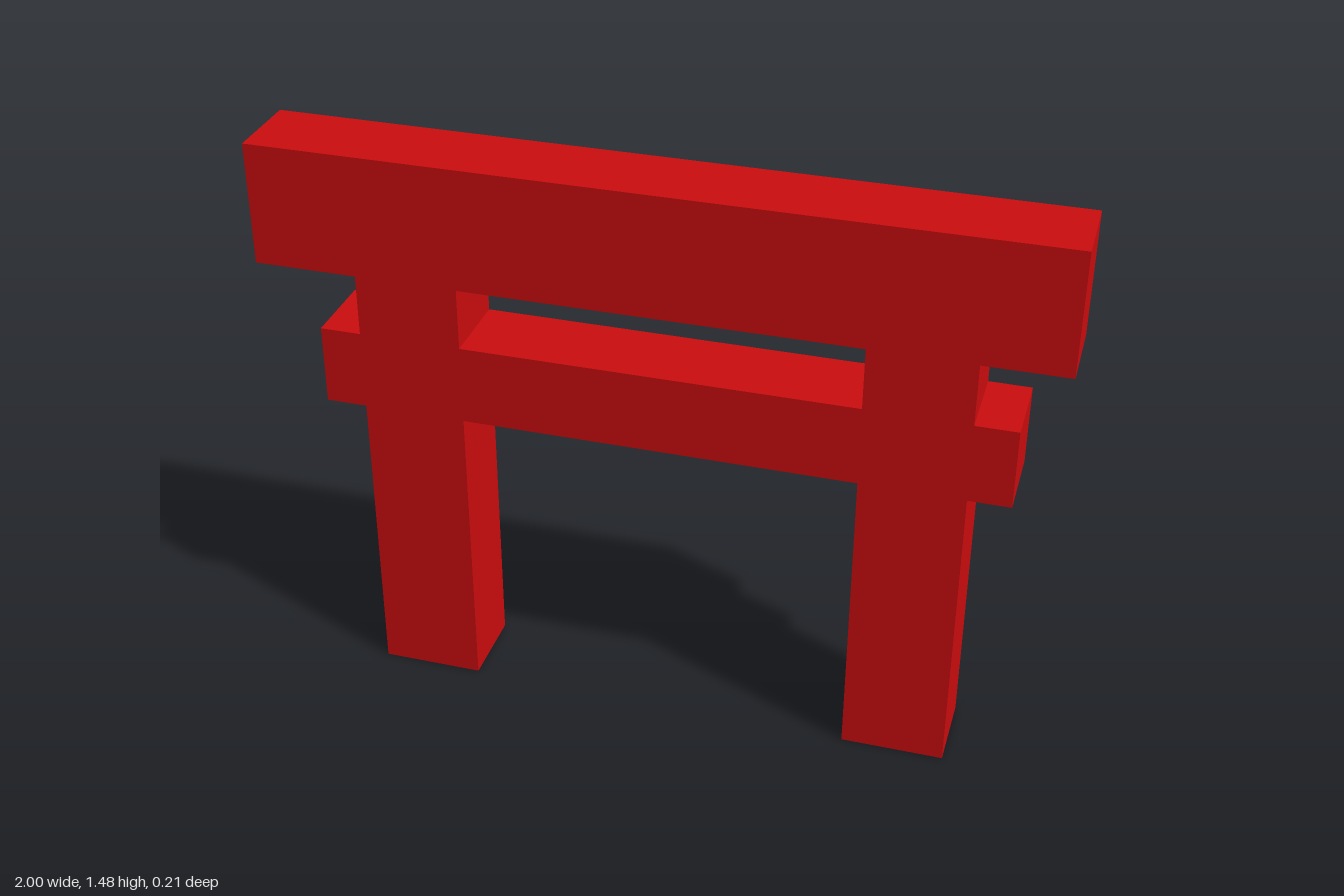
import * as THREE from 'three';

export function createModel() {
  const gate = new THREE.Group();
  gate.name = 'gate';
  const red = new THREE.MeshStandardMaterial({ color: 0xcc0d0f });
  red.name = 'red paint';
  const depth = 0.21;

  // Box given by its edges in x and y, sharing the common depth
  function block(name, x0, x1, y0, y1, parent = gate) {
    const mesh = new THREE.Mesh(new THREE.BoxGeometry(x1 - x0, y1 - y0, depth), red);
    mesh.position.set((x0 + x1) / 2, (y0 + y1) / 2, 0);
    mesh.name = name;
    parent.add(mesh);
  }

  // Two posts reaching up to the top beam
  const posts = { rightPost: [-0.737, -0.475], leftPost: [0.525, 0.787] };
  for (const [name, [x0, x1]] of Object.entries(posts)) block(name, x0, x1, 0, 1.16);

  // Heavy top beam
  block('topBeam', -1, 1, 1.16, 1.477);

  // Tie beam flush with the posts: a span between them and a stub on each outer side
  const tieBeam = new THREE.Group();
  tieBeam.name = 'tieBeam';
  gate.add(tieBeam);
  const spans = {
    rightStub: [-0.842, posts.rightPost[0]],
    middleSpan: [posts.rightPost[1], posts.leftPost[0]],
    leftStub: [posts.leftPost[1], 0.893],
  };
  for (const [name, [x0, x1]] of Object.entries(spans)) block(name, x0, x1, 0.793, 1.0, tieBeam);

  return gate;
}
